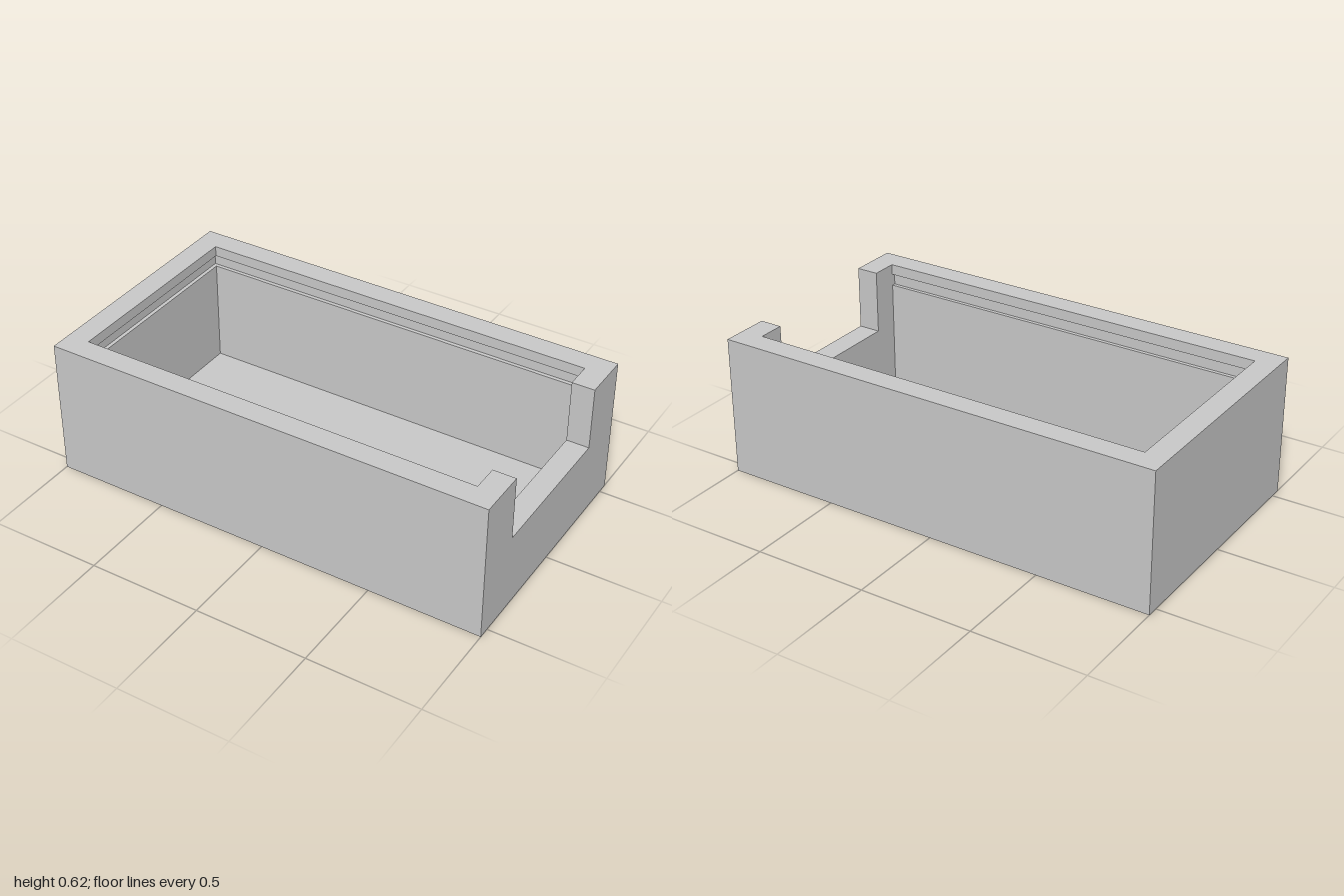
import * as THREE from 'three';
import { mergeGeometries } from 'three/addons/utils/BufferGeometryUtils.js';

// Main sizes
const H = 0.617, X = 1, Z = 0.55;          // outer half sizes and height
const IX = 0.9, IZ = 0.45, FLOOR = 0.05;   // cavity
const NZ = 0.333, SILL = 0.334;            // notch in the end wall
const G0 = 0.517, G1 = 0.57, GD = 0.017;   // groove heights and depth

// Plan outlines are counter-clockwise [x, -z] points
const rect = (x0, x1, z) => [[x0, -z], [x1, -z], [x1, z], [x0, z]];

// Plan of the walls above the sill; d recesses the three grooved sides
const wallPlan = (d) => [
  [-X, -Z], [X, -Z], [X, -NZ], [IX, -NZ], [IX, -IZ - d], [-IX - d, -IZ - d],
  [-IX - d, IZ + d], [IX, IZ + d], [IX, NZ], [X, NZ], [X, Z], [-X, Z],
];

// Vertical faces along a closed outline
function band(points, y0, y1) {
  const pos = [];
  points.forEach(([ax, ay], i) => {
    const [bx, by] = points[(i + 1) % points.length];
    pos.push(ax, y0, -ay, bx, y0, -by, bx, y1, -by);
    pos.push(ax, y0, -ay, bx, y1, -by, ax, y1, -ay);
  });
  const g = new THREE.BufferGeometry();
  g.setAttribute('position', new THREE.Float32BufferAttribute(pos, 3));
  g.computeVertexNormals();
  return g;
}

// Horizontal face facing up or down (all plans mirror in z)
function cap(points, y, up = true) {
  const shape = new THREE.Shape(points.map(([x, z]) => new THREE.Vector2(x, z)));
  const g = new THREE.ShapeGeometry(shape).toNonIndexed();
  g.deleteAttribute('uv');
  return g.rotateX(up ? -Math.PI / 2 : Math.PI / 2).translate(0, y, 0);
}

export function createModel() {
  const model = new THREE.Group();
  model.name = 'openBox';
  const grey = new THREE.MeshStandardMaterial({ color: 0xc8c8c8 });
  grey.name = 'grey';
  const add = (name, parts) => {
    const mesh = new THREE.Mesh(mergeGeometries(parts), grey);
    mesh.name = name;
    model.add(mesh);
  };

  // Tray up to the notch sill
  const outer = rect(-X, X, Z), inner = rect(-IX, IX, IZ);
  add('lowerTray', [
    cap(outer, 0, false),
    band(outer, 0, SILL),
    cap(inner, FLOOR),
    band([...inner].reverse(), FLOOR, SILL),
    cap(rect(IX, X, NZ), SILL),
  ]);

  // Walls above the sill, open at the notch
  add('upperWalls', [band(wallPlan(0), SILL, G0)]);

  // Lid groove in the two long walls and the closed end
  const ledge = [
    [IX, -IZ - GD], [IX, -IZ], [-IX, -IZ], [-IX, IZ],
    [IX, IZ], [IX, IZ + GD], [-IX - GD, IZ + GD], [-IX - GD, -IZ - GD],
  ];
  add('lidGroove', [
    cap(ledge, G0),
    band(wallPlan(GD), G0, G1),
    cap(ledge, G1, false),
  ]);

  // Rim
  add('rim', [band(wallPlan(0), G1, H), cap(wallPlan(0), H)]);

  return model;
}
